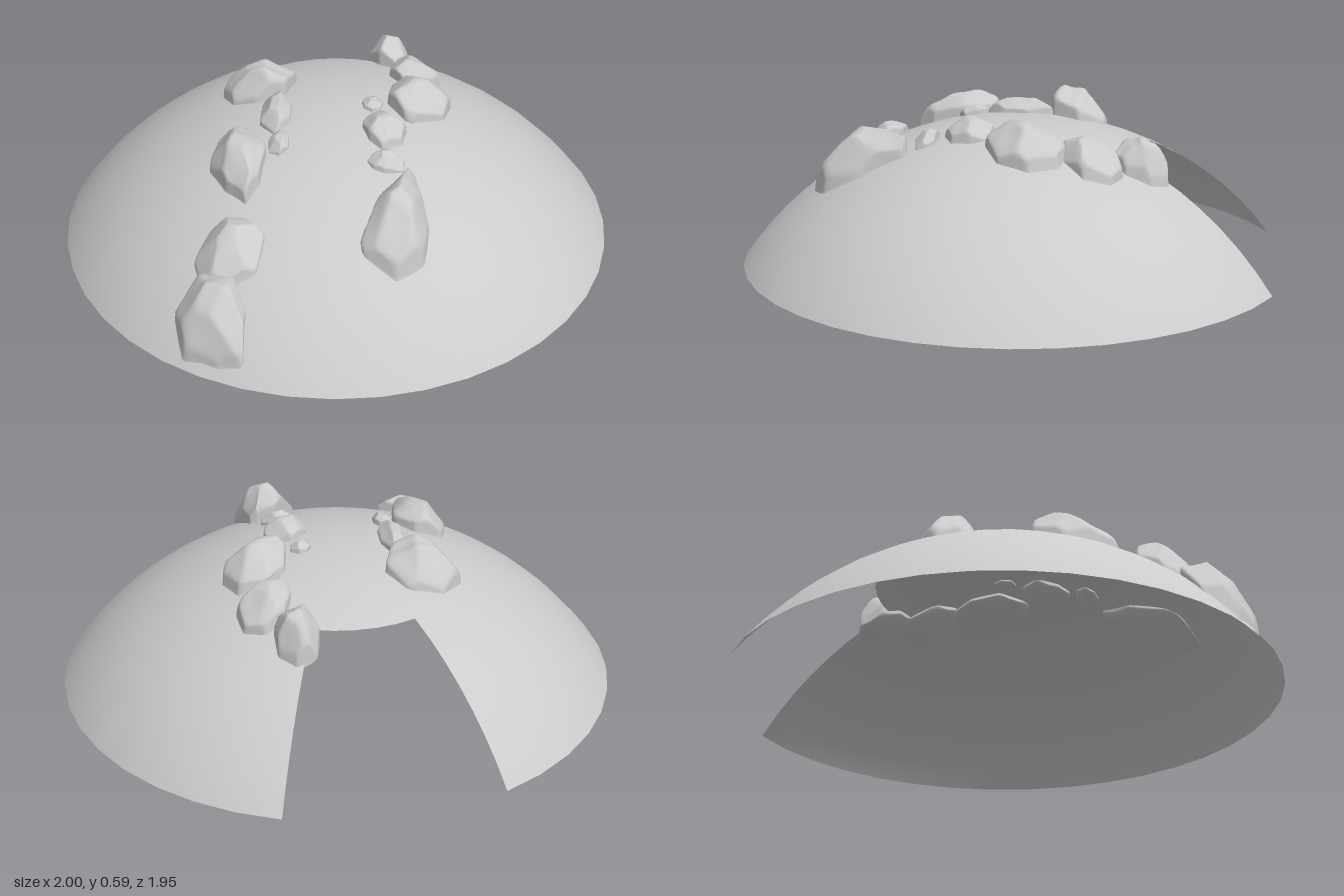
import * as THREE from 'three';
import { mergeVertices } from 'three/addons/utils/BufferGeometryUtils.js';

const DEG = Math.PI / 180;
const RIM = 54 * DEG, INNER = 22.5 * DEG;   // polar angles of the rim and of the notch's inner edge
const R = 1 / Math.sin(RIM);
const CY = -R * Math.cos(RIM), CZ = -0.03;
const grey = new THREE.MeshStandardMaterial({ color: 0xcccccc });
const shellGrey = new THREE.MeshStandardMaterial({ color: 0xcccccc, side: THREE.DoubleSide });

// Height of the dome above a ground point
const domeY = (x, z) => CY + Math.sqrt(R * R - x * x - (z - CZ) ** 2);

// Rocks: x, z, half width, half length, yaw in degrees, taper towards the front, height over the dome
const RIGHT_ROW = [
  [-0.28, -0.21, 0.125, 0.105, 0, 0, 0.11],
  [-0.215, -0.01, 0.056, 0.115, 0, 0.15, 0.055],
  [-0.2, 0.17, 0.037, 0.052, 0, 0, 0.035],
  [-0.335, 0.25, 0.085, 0.145, 12, -0.35, 0.1],
  [-0.36, 0.57, 0.112, 0.1, 0, 0, 0.085],
  [-0.405, 0.75, 0.1, 0.14, 40, -0.35, 0.11],
];
const LEFT_ROW = [
  [0.2, -0.51, 0.07, 0.092, 15, 0, 0.115],
  [0.29, -0.342, 0.085, 0.108, -27, -0.2, 0.08],
  [0.3, -0.117, 0.11, 0.138, -15, 0, 0.1],
  [0.13, -0.043, 0.035, 0.04, 0, 0, 0.03],
  [0.175, 0.11, 0.072, 0.082, 0, -0.1, 0.065],
  [0.18, 0.265, 0.062, 0.04, 0, 0, 0.045],
  [0.225, 0.49, 0.092, 0.17, -12, 0.6, 0.135],
];

function seeded(seed) {
  let s = seed * 7919 + 17;
  return () => (s = (s * 16807) % 2147483647) / 2147483647;
}

// A plane that chips the unit rock: compass angle, upward part of its normal, distance
function cutPlane(angle, up, c) {
  const flat = Math.sqrt(1 - up * up);
  return { n: new THREE.Vector3(Math.cos(angle) * flat, up, Math.sin(angle) * flat), c };
}

// A ball chipped by planes, tapered, turned and laid along the dome
function rockGeometry([cx, cz, halfW, halfL, yaw, taper, top], seed) {
  const rnd = seeded(seed);
  const sink = Math.min(0.03, top * 0.45);
  const cos = Math.cos(yaw * DEG), sin = Math.sin(yaw * DEG);
  const cuts = [cutPlane(0, 1, 1)];
  for (let i = 0; i < 5; i++) {
    cuts.push(cutPlane((i + rnd() * 0.7) * 72 * DEG, 0.55 + rnd() * 0.3, 0.84 + rnd() * 0.14));
  }
  for (let i = 0; i < 7; i++) {
    cuts.push(cutPlane((i + rnd() * 0.5) * 360 / 7 * DEG, rnd() * 0.15, 0.95 + rnd() * 0.06));
  }

  let geo = new THREE.IcosahedronGeometry(1.12, 9);
  geo.deleteAttribute('normal');
  geo.deleteAttribute('uv');
  geo = mergeVertices(geo, 1e-4);
  const pos = geo.attributes.position, p = new THREE.Vector3();
  for (let i = 0; i < pos.count; i++) {
    p.fromBufferAttribute(pos, i);
    const lump = 1 + 0.03 * Math.sin(p.x * 5 + seed) * Math.sin(p.y * 6 + seed * 2) + 0.02 * Math.sin(p.z * 9 + seed * 3);
    for (const { n, c } of cuts) p.addScaledVector(n, -Math.max(0, p.dot(n) - c));
    const lx = p.x * halfW * (1 + taper * p.z), lz = p.z * halfL;
    const x = cx + lx * cos + lz * sin, z = cz - lx * sin + lz * cos;
    pos.setXYZ(i, x, domeY(x, z) + p.y * lump * (p.y > 0 ? top : sink), z);
  }
  geo.computeVertexNormals();
  return geo;
}

export function createModel() {
  const model = new THREE.Group();

  // Dome shell: a whole crown and a skirt with a five-segment notch at the back
  const dome = new THREE.Group();
  dome.name = 'dome';
  const addShell = (name, geo) => {
    const mesh = new THREE.Mesh(geo, shellGrey);
    mesh.name = name;
    mesh.position.set(0, CY, CZ);
    dome.add(mesh);
  };
  addShell('domeCrown', new THREE.SphereGeometry(R, 40, 5, 297 * DEG, 360 * DEG, 0, INNER));
  addShell('domeSkirt', new THREE.SphereGeometry(R, 35, 7, 297 * DEG, 315 * DEG, INNER, RIM - INNER));
  model.add(dome);

  // Two rows of rocks running back to front
  const addRow = (name, row, firstSeed) => {
    const group = new THREE.Group();
    group.name = name;
    row.forEach((spec, i) => {
      const mesh = new THREE.Mesh(rockGeometry(spec, firstSeed + i), grey);
      mesh.name = 'rock';
      group.add(mesh);
    });
    model.add(group);
  };
  addRow('rightRocks', RIGHT_ROW, 1);
  addRow('leftRocks', LEFT_ROW, 11);

  return model;
}
